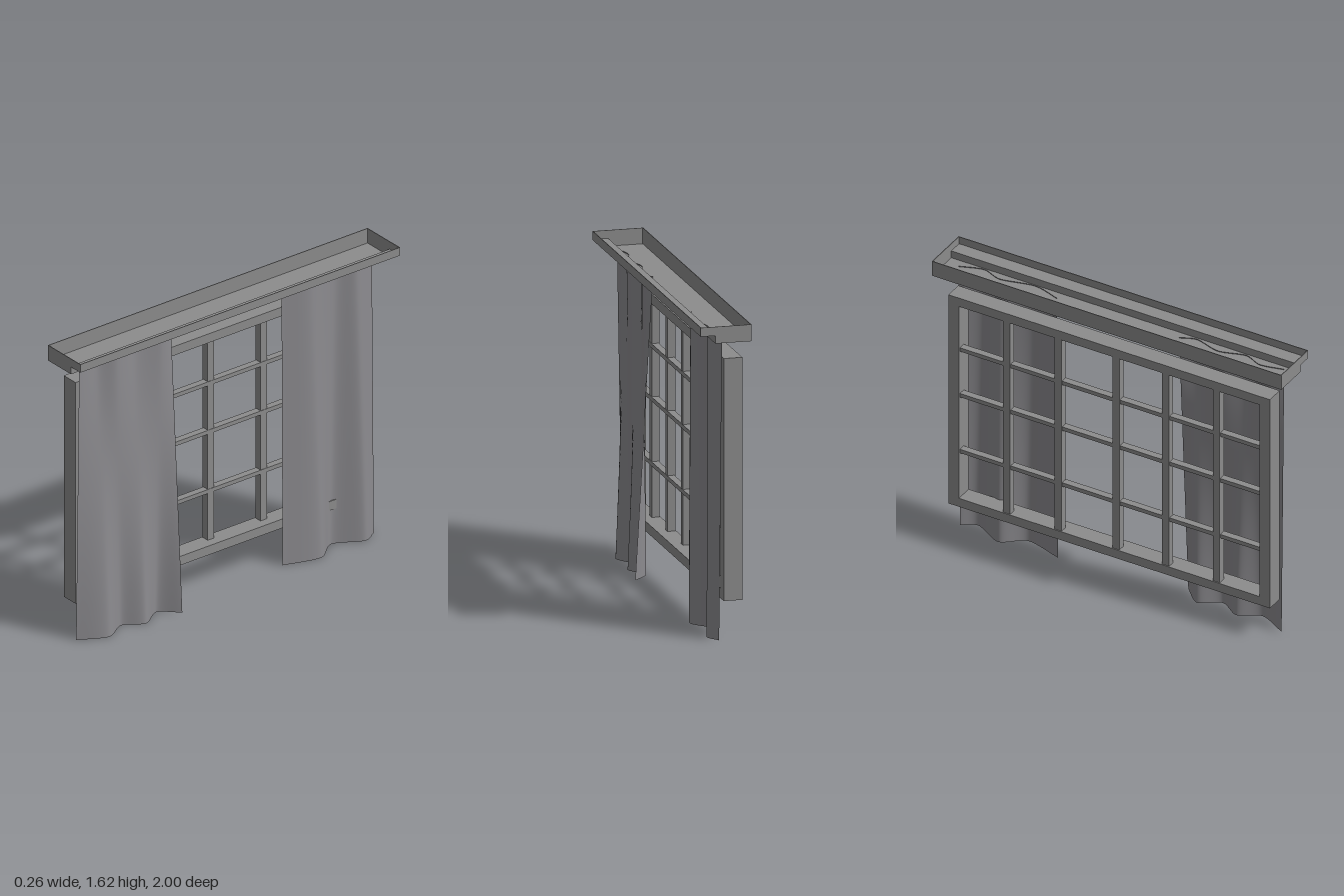
import * as THREE from 'three';

const trim = new THREE.MeshStandardMaterial({ color: 0x8c8c8c });
trim.name = 'trim grey';
const cloth = new THREE.MeshStandardMaterial({ color: 0x8c8b8f, side: THREE.DoubleSide });
cloth.name = 'curtain grey';

// Box given by its min and max corners
function box(name, [x0, x1], [y0, y1], [z0, z1]) {
  const mesh = new THREE.Mesh(new THREE.BoxGeometry(x1 - x0, y1 - y0, z1 - z0), trim);
  mesh.name = name;
  mesh.position.set((x0 + x1) / 2, (y0 + y1) / 2, (z0 + z1) / 2);
  return mesh;
}

// Open-topped pelmet: a stepped tray made of thin boards
function createPelmet() {
  const g = new THREE.Group();
  g.name = 'pelmet';
  const t = 0.004, len = [-1, 1];
  g.add(
    box('pelmetBackBoard', [-0.13, -0.13 + t], [1.53, 1.615], len),
    box('pelmetFloor', [-0.13, 0.055], [1.53, 1.53 + t], len),
    box('pelmetStep', [0.055 - t, 0.055], [1.53, 1.57 + t], len),
    box('pelmetLedge', [0.055, 0.13], [1.57, 1.57 + t], len),
    box('pelmetFrontBoard', [0.13 - t, 0.13], [1.57, 1.615], len)
  );
  const profile = new THREE.Shape([
    [-0.13, 1.53], [0.055, 1.53], [0.055, 1.57], [0.13, 1.57], [0.13, 1.615], [-0.13, 1.615]
  ].map(([x, y]) => new THREE.Vector2(x, y)));
  for (const z of [-1, 1 - t]) {
    const end = new THREE.Mesh(new THREE.ExtrudeGeometry(profile, { depth: t, bevelEnabled: false }), trim);
    end.name = 'pelmetEnd';
    end.position.z = z;
    g.add(end);
  }
  return g;
}

// Window frame with glazing bars
function createWindow() {
  const g = new THREE.Group();
  g.name = 'window';
  const depth = [-0.105, -0.01];
  g.add(
    box('topRail', depth, [1.38, 1.43], [-0.92, 0.92]),
    box('bottomRail', depth, [0.197, 0.247], [-0.92, 0.92])
  );
  for (const s of [-1, 1]) {
    const z = [s * 0.92, s * 0.86].sort((a, b) => a - b);
    g.add(box('stile', depth, [0.247, 1.38], z));
  }
  for (const z of [-0.59, -0.295, 0.035, 0.32, 0.61]) {
    g.add(box('verticalBar', [-0.1, -0.06], [0.247, 1.38], [z - 0.02, z + 0.02]));
  }
  for (const y of [0.52, 0.85, 1.12]) {
    g.add(box('horizontalBar', [-0.095, -0.058], [y - 0.011, y + 0.011], [-0.86, 0.86]));
  }
  return g;
}

// Curtain sheet lofted from its top folds to its deeper bottom folds; folds are [x, z]
function createCurtain(name, top, bottom) {
  const curve = (pts, y) => new THREE.CatmullRomCurve3(
    pts.map(([x, z]) => new THREE.Vector3(x, y, z)), false, 'catmullrom', 0.4);
  const a = curve(top, 1.538), b = curve(bottom, 0);
  const cols = 50, rows = 8;
  const pos = [], index = [];
  for (let j = 0; j <= rows; j++) {
    for (let i = 0; i <= cols; i++) {
      const p = a.getPoint(i / cols).lerp(b.getPoint(i / cols), j / rows);
      pos.push(p.x, p.y, p.z);
      if (i < cols && j < rows) {
        const k = j * (cols + 1) + i, m = k + cols + 1;
        index.push(k, m, k + 1, k + 1, m, m + 1);
      }
    }
  }
  const geo = new THREE.BufferGeometry();
  geo.setAttribute('position', new THREE.Float32BufferAttribute(pos, 3));
  geo.setIndex(index);
  geo.computeVertexNormals();
  const mesh = new THREE.Mesh(geo, cloth);
  mesh.name = name;
  return mesh;
}

export function createModel() {
  const model = new THREE.Group();
  model.name = 'curtainedWindow';
  model.add(createPelmet(), createWindow());
  // Fold points run from +z to -z
  model.add(createCurtain('curtainNear',
    [[0.025, 0.925], [0.0, 0.8], [0.037, 0.7], [0.0, 0.56], [0.037, 0.42], [0.005, 0.335]]
      .map(([x, z]) => [x, z]),
    [[0.0, 0.925], [0.073, 0.775], [0.015, 0.656], [0.075, 0.545], [0.012, 0.433], [0.095, 0.335]]));
  model.add(createCurtain('curtainFar',
    [[0.0, -0.36], [0.042, -0.51], [0.005, -0.69], [0.04, -0.8], [0.0, -0.925]],
    [[0.008, -0.36], [0.062, -0.56], [-0.02, -0.685], [0.055, -0.84], [0.015, -0.925]]));
  return model;
}
